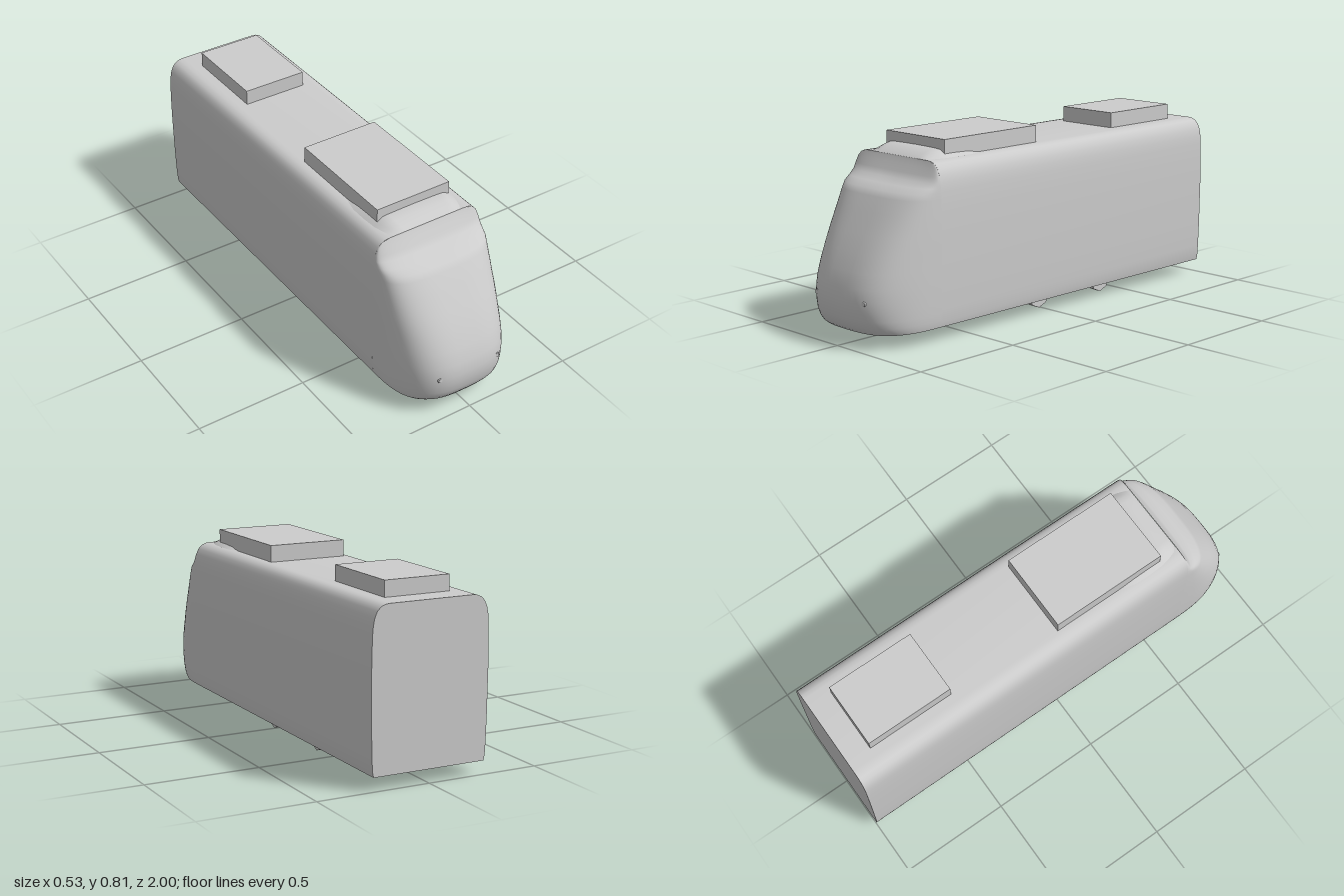
import * as THREE from 'three';
import { toCreasedNormals } from 'three/addons/utils/BufferGeometryUtils.js';

const FLOOR = 0.058, ROOF = 0.737, SEAM = 0.665;

// Right half of the body cross-section: [half width, height]
const SECTION = [
  [0.252, FLOOR], [0.257, 0.08], [0.26, 0.13], [0.263, 0.25], [0.265, 0.45], [0.264, 0.55],
  [0.262, 0.62], [0.259, 0.655], [0.253, 0.685], [0.242, 0.71], [0.226, 0.727], [0.205, 0.735], [0.185, ROOF],
];

// Nose centre line: [height, forward reach]
const NOSE = [
  [FLOOR, 0.95], [0.07, 0.966], [0.09, 0.981], [0.12, 0.993], [0.16, 0.999], [0.2, 1], [0.25, 0.991],
  [0.31, 0.969], [0.38, 0.936], [0.45, 0.898], [0.53, 0.85], [0.59, 0.814], [0.615, 0.795],
  [0.635, 0.755], [0.655, 0.715], [0.68, 0.698], [0.71, 0.68], [0.728, 0.67], [ROOF, SEAM + 0.001],
];

// Linear lookup in a table of pairs
function lookup(table, key, from, to) {
  for (let i = 1; i < table.length; i++) {
    const a = table[i - 1], b = table[i];
    if (key <= b[from]) return THREE.MathUtils.mapLinear(key, a[from], b[from], a[to], b[to]);
  }
  return table[table.length - 1][to];
}

// Smooth surface through rows of points
function loft(rows) {
  const n = rows[0].length, index = [];
  for (let i = 0; i < rows.length - 1; i++) {
    for (let j = 0; j < n - 1; j++) {
      const a = i * n + j, b = a + 1, c = a + n, d = c + 1;
      index.push(a, b, c, b, d, c);
    }
  }
  const geometry = new THREE.BufferGeometry();
  geometry.setAttribute('position', new THREE.Float32BufferAttribute(rows.flat(2), 3));
  geometry.setIndex(index);
  geometry.computeVertexNormals();
  return geometry;
}

// Rounded plan outline of the nose at one height
function nosePlan(y, reach) {
  const w = lookup(SECTION, y, 1, 0), row = [];
  for (let j = 0; j <= 32; j++) {
    const t = Math.PI * (1 - j / 32), c = Math.cos(t), s = Math.max(0, Math.sin(t));
    row.push([w * Math.sign(c) * Math.abs(c) ** (2 / 3), y, SEAM + (reach - SEAM) * s ** (2 / 3)]);
  }
  return row;
}

export function createModel() {
  const group = new THREE.Group();
  const grey = new THREE.MeshStandardMaterial({ color: 0xcccccc });
  grey.name = 'light grey';
  const add = (name, geometry, x = 0, y = 0, z = 0) => {
    const mesh = new THREE.Mesh(geometry, grey);
    mesh.name = name;
    mesh.position.set(x, y, z);
    group.add(mesh);
    return mesh;
  };

  // Long car body
  const outline = [...SECTION, ...SECTION.map(([x, y]) => [-x, y]).reverse()];
  const bodyShape = new THREE.Shape(outline.map(([x, y]) => new THREE.Vector2(x, y)));
  const body = new THREE.ExtrudeGeometry(bodyShape, { depth: SEAM + 1, bevelEnabled: false });
  add('body', toCreasedNormals(body, 0.7), 0, 0, -1);

  // Sloping nose and its underside
  add('nose', loft(NOSE.map(([y, z]) => nosePlan(y, z))));
  const floorPlan = nosePlan(FLOOR, NOSE[0][1]).map(([x, , z]) => new THREE.Vector2(x, z));
  add('noseFloor', new THREE.ShapeGeometry(new THREE.Shape(floorPlan)).rotateX(Math.PI / 2), 0, FLOOR, 0);

  // Low fairing in front of the roof unit: [z, half width, height]
  const arch = [[1, 0], [0.9, 0.45], [0.78, 0.88], [0.65, 0.96], [0.35, 1]];
  const archFull = [...arch, [0, 1.02], ...arch.map(([x, y]) => [-x, y]).reverse()];
  const fairing = [
    [0.35, 0.178, 0], [0.38, 0.188, 0.01], [0.43, 0.199, 0.022], [0.5, 0.2, 0.028],
    [0.57, 0.196, 0.033], [0.61, 0.187, 0.026], [0.645, 0.175, 0.012], [0.663, 0.165, 0],
  ];
  add('roofFairing', loft(fairing.map(([z, w, h]) => archFull.map(([x, y]) => [x * w, ROOF + y * h, z]))));

  // Roof units
  add('frontRoofUnit', new THREE.BoxGeometry(0.356, 0.073, 0.535), 0, 0.7735, 0.2985);
  add('rearRoofUnit', new THREE.BoxGeometry(0.294, 0.07, 0.4), 0, 0.77, -0.69);

  // Wheels and small lamps on both sides
  const wheel = new THREE.CylinderGeometry(0.06, 0.06, 0.022, 8).rotateZ(Math.PI / 2);
  const lamp = new THREE.CylinderGeometry(0.011, 0.011, 0.012, 6).rotateX(Math.PI / 2);
  for (const side of [1, -1]) {
    for (const z of [0.008, -0.392]) add('wheel', wheel, side * 0.167, 0.06, z);
    add('lamp', lamp, side * 0.145, 0.195, 0.977);
  }
  return group;
}
